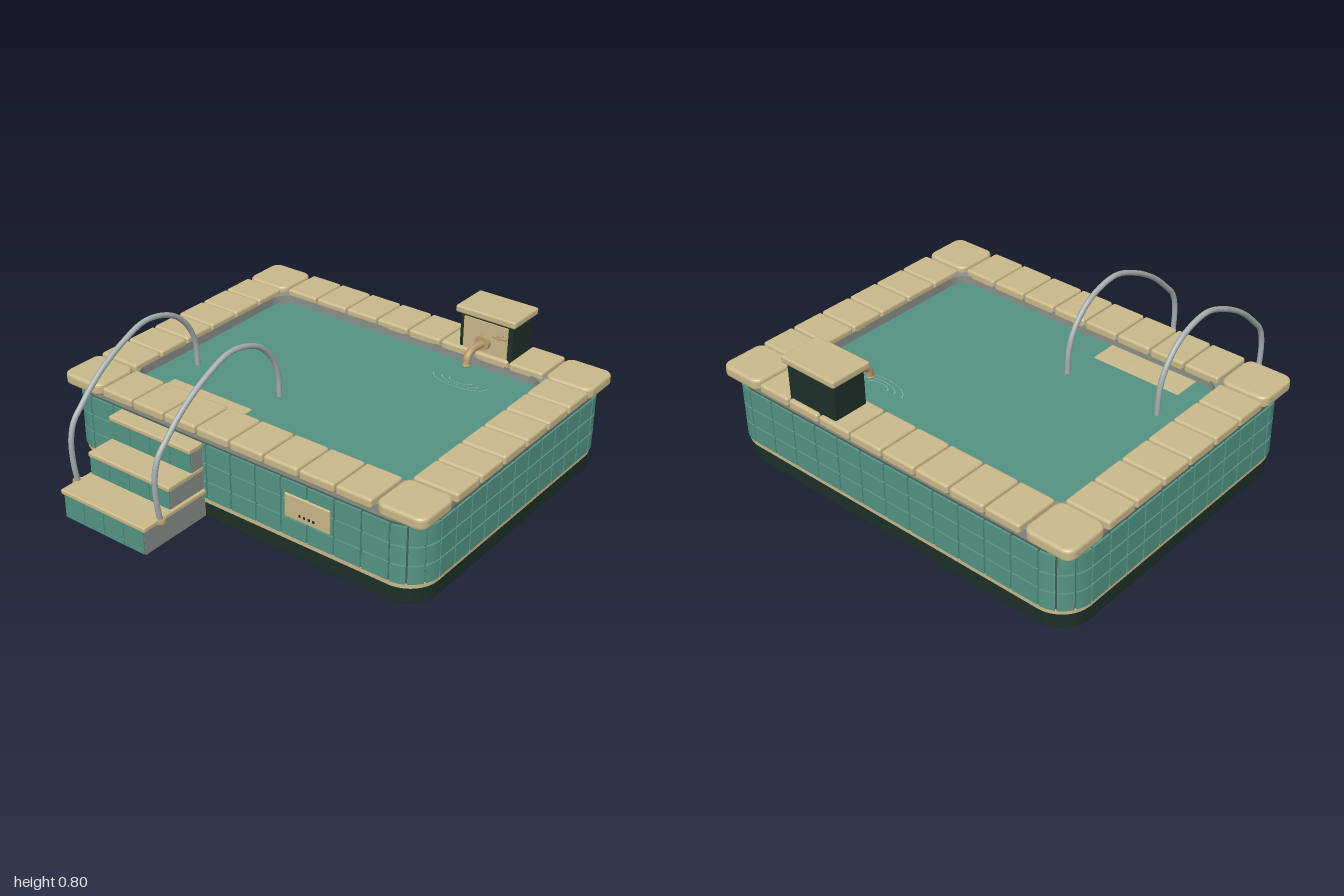
import * as THREE from 'three';
import { RoundedBoxGeometry } from 'three/addons/geometries/RoundedBoxGeometry.js';

const mat = (name, color) => {
  const m = new THREE.MeshStandardMaterial({ color });
  m.name = name;
  return m;
};

export function createModel() {
  const M = {
    stone: mat('sandStone', 0xcab98b),
    tile: mat('tealTile', 0x549585),
    water: mat('water', 0x539283),
    dark: mat('darkGreen', 0x1c3028),
    base: mat('nearBlack', 0x16221e),
    grey: mat('greyConcrete', 0x8b918b),
    grout: mat('grout', 0x4c5a54),
    steel: mat('steel', 0xa6aeae),
    brass: mat('brass', 0xbb9f70),
    foam: mat('ripple', 0x8ab5a8),
  };
  const model = new THREE.Group();
  model.name = 'pool';
  const CZ = -0.19; // centre of the basin in z

  const add = (name, geo, material, x = 0, y = 0, z = 0, parent = model) => {
    const m = new THREE.Mesh(geo, material);
    m.name = name;
    m.position.set(x, y, z);
    parent.add(m);
    return m;
  };
  // Box given by its limits, with optional rounded edges
  const box = (name, material, [x0, x1], [y0, y1], [z0, z1], r = 0, parent = model) => {
    const s = [x1 - x0, y1 - y0, z1 - z0];
    const geo = r ? new RoundedBoxGeometry(...s, 2, r) : new THREE.BoxGeometry(...s);
    return add(name, geo, material, (x0 + x1) / 2, (y0 + y1) / 2, (z0 + z1) / 2, parent);
  };
  const group = (name) => {
    const g = new THREE.Group();
    g.name = name;
    model.add(g);
    return g;
  };
  const roundRect = (hx, hz, r, path = new THREE.Shape()) => {
    path.absarc(hx - r, hz - r, r, 0, Math.PI / 2);
    path.absarc(r - hx, hz - r, r, Math.PI / 2, Math.PI);
    path.absarc(r - hx, r - hz, r, Math.PI, Math.PI * 1.5);
    path.absarc(hx - r, r - hz, r, Math.PI * 1.5, Math.PI * 2);
    path.closePath();
    return path;
  };
  // Horizontal slab: shape extruded upward, with optional bevel
  const slab = (name, shape, y0, y1, material, bevel = 0, parent = model, x = 0, z = CZ) => {
    const geo = new THREE.ExtrudeGeometry(shape, {
      depth: y1 - y0 - 2 * bevel, curveSegments: 10, bevelEnabled: bevel > 0,
      bevelSize: bevel, bevelThickness: bevel, bevelOffset: -bevel, bevelSegments: 3,
    });
    geo.rotateX(-Math.PI / 2);
    return add(name, geo, material, x, y0 + bevel, z, parent);
  };

  // Plinth, trim, wall core, rim and water
  const R = 0.15, HX = 0.984, HZ = 0.767;
  slab('foot', roundRect(0.905, 0.688, 0.11), 0, 0.06, M.base, 0.02);
  slab('plinth', roundRect(0.973, 0.758, R), 0.035, 0.115, M.dark, 0.006);
  slab('baseTrim', roundRect(0.978, 0.762, R), 0.115, 0.135, M.stone);
  slab('wallCore', roundRect(0.974, 0.757, R), 0.135, 0.418, M.grout);
  const rim = roundRect(0.965, 0.75, R);
  rim.holes.push(roundRect(0.777, 0.556, 0.09, new THREE.Path()));
  slab('rim', rim, 0.418, 0.468, M.grey);
  slab('waterSurface', roundRect(0.785, 0.565, 0.08), 0.41, 0.425, M.water);

  // Wall tiles: three rows around straight sides and rounded corners
  const tiles = group('wallTiles');
  const gap = 0.004, thick = 0.014;
  const NX = 12, NZ = 11, sx = HX - R, sz = HZ - R;
  for (const [y0, y1] of [[0.139, 0.226], [0.234, 0.318], [0.326, 0.415]]) {
    for (const s of [-1, 1]) {
      const out = (h) => (s > 0 ? [h - thick, h] : [-h, thick - h]);
      for (let i = 0; i < NX; i++) {
        const w = (2 * sx) / NX, x = -sx + i * w;
        box('wallTile', M.tile, [x + gap, x + w - gap], [y0, y1], out(HZ).map((v) => v + CZ), 0, tiles);
      }
      for (let i = 0; i < NZ; i++) {
        const w = (2 * sz) / NZ, z = CZ - sz + i * w;
        box('wallTile', M.tile, out(HX), [y0, y1], [z + gap, z + w - gap], 0, tiles);
      }
    }
    for (let q = 0; q < 4; q++) {
      const cx = q === 0 || q === 3 ? sx : -sx, cz = q < 2 ? sz : -sz;
      for (let k = 0; k < 3; k++) {
        const a0 = (q + k / 3) * Math.PI / 2 + gap / R, a1 = (q + (k + 1) / 3) * Math.PI / 2 - gap / R;
        const s = new THREE.Shape();
        s.absarc(cx, cz, R, a0, a1, false);
        s.absarc(cx, cz, R - thick, a1, a0, true);
        s.closePath();
        slab('cornerTile', s, y0, y1, M.tile, 0, tiles);
      }
    }
  }

  // Coping stones, with larger rounded stones on the corners
  const coping = group('coping');
  const cy = [0.448, 0.496], g = 0.004;
  for (let i = 0; i < 8; i++) {
    const x = -0.752 + i * 0.188, xs = [x + g, x + 0.188 - g];
    box('copingStone', M.stone, xs, cy, [0.363, 0.587], 0.013, coping);
    box('copingStone', M.stone, xs, cy, [-0.967, -0.746], 0.013, coping);
  }
  for (let i = 0; i < 6; i++) {
    const z = -0.732 + i * 0.1795, zs = [z + g, z + 0.1795 - g];
    box('copingStone', M.stone, [-0.998, -0.777], cy, zs, 0.013, coping);
    box('copingStone', M.stone, [0.777, 0.998], cy, zs, 0.013, coping);
  }
  for (const x of [-0.881, 0.881])
    for (const z of [-0.852, 0.471])
      slab('cornerStone', roundRect(0.119, 0.117, 0.045), 0.44, 0.497, M.stone, 0.015, coping, x, z);

  // Entry steps with tiled fronts, and the ledge inside
  const steps = group('steps');
  [[0.04, 0.16, 0.953], [0.16, 0.275, 0.785], [0.275, 0.395, 0.645]].forEach(([y0, y1, z], n) => {
    box('stepBody', M.grey, [-0.64, -0.16], [y0, y1], [0.55, z], 0, steps);
    for (let i = 0; i < 4; i++) {
      const x = -0.64 + i * 0.12;
      box('stepTile', M.tile, [x + 0.002, x + 0.118], [y0 + (n ? 0.025 : 0.004), y1 - 0.002], [z, z + 0.006], 0, steps);
    }
    const w = n ? 0 : 0.01;
    box('tread', M.stone, [-0.643 - w, -0.157 + w], [y1, y1 + 0.026], [0.57, z + 0.014], 0.008, steps);
  });
  box('innerLedge', M.stone, [-0.635, -0.165], [0.405, 0.43], [0.23, 0.4], 0.004, steps);

  // Hand rails with floor flanges
  const railPath = new THREE.CatmullRomCurve3([
    [0.16, 0.86], [0.27, 0.878], [0.4, 0.88], [0.48, 0.855], [0.535, 0.805], [0.64, 0.69], [0.735, 0.53],
    [0.783, 0.38], [0.742, 0.21], [0.65, 0.11], [0.55, 0.065], [0.41, 0.053],
  ].map(([y, z]) => new THREE.Vector3(0, y, z)));
  for (const x of [-0.65, -0.152]) {
    add('handRail', new THREE.TubeGeometry(railPath, 64, 0.013, 10), M.steel, x);
    add('railFlange', new THREE.CylinderGeometry(0.024, 0.026, 0.018, 20), M.brass, x, 0.175, 0.862);
  }

  // Fountain block at the back
  box('fountainBlock', M.dark, [0.285, 0.57], [0.48, 0.672], [-0.945, -0.765], 0.008);
  box('fountainCap', M.stone, [0.266, 0.59], [0.67, 0.706], [-0.96, -0.745], 0.01);
  box('fountainPlate', M.stone, [0.31, 0.548], [0.5, 0.657], [-0.766, -0.757]);

  // Spout, wall rose and valve
  const spoutPath = new THREE.CatmullRomCurve3([
    [0.55, -0.76], [0.557, -0.69], [0.556, -0.645], [0.538, -0.618], [0.495, -0.608],
  ].map(([y, z]) => new THREE.Vector3(0.425, y, z)));
  add('spout', new THREE.TubeGeometry(spoutPath, 24, 0.018, 12), M.brass);
  add('spoutLip', new THREE.TorusGeometry(0.016, 0.005, 8, 20), M.brass, 0.425, 0.497, -0.608).rotation.x = Math.PI / 2;
  const disc = (name, r, d, x, y, z) =>
    add(name, new THREE.CylinderGeometry(r, r, d, 24), M.brass, x, y, z).rotation.x = Math.PI / 2;
  disc('wallRose', 0.037, 0.024, 0.425, 0.556, -0.745);
  disc('valveStem', 0.01, 0.04, 0.52, 0.615, -0.742);
  disc('valveHub', 0.014, 0.012, 0.52, 0.615, -0.728);
  box('valveHandle', M.brass, [0.485, 0.557], [0.608, 0.622], [-0.738, -0.724], 0.004);

  // Ripples below the spout
  for (const r of [0.06, 0.1, 0.145]) {
    const ripple = add('ripple', new THREE.RingGeometry(r - 0.003, r + 0.003, 40, 1, Math.PI, Math.PI), M.foam, 0.42, 0.427, -0.575);
    ripple.rotation.x = -Math.PI / 2;
    ripple.scale.y = 0.45;
  }

  // Control panel on the front wall
  box('controlPanel', M.stone, [0.302, 0.54], [0.238, 0.355], [0.565, 0.585], 0.006);
  for (const x of [0.385, 0.41, 0.435, 0.458])
    box('panelMark', M.dark, [x - 0.005, x + 0.005], [0.263, 0.275], [0.582, 0.587]);

  return model;
}
